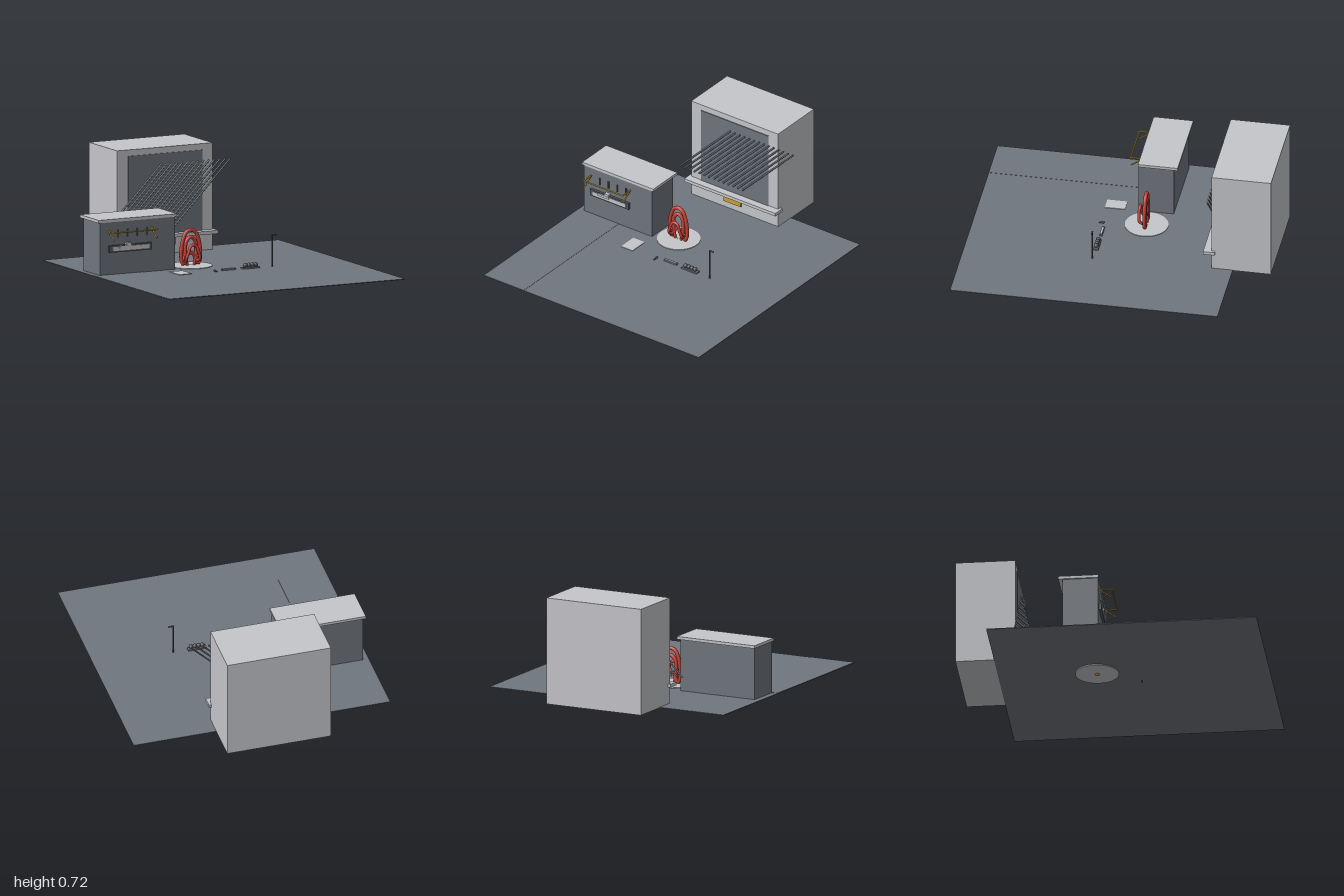
import * as THREE from 'three';

const mat = (name, color) => {
  const m = new THREE.MeshStandardMaterial({ color });
  m.name = name;
  return m;
};

export function createModel() {
  const steel = mat('slate steel', 0x70767e);
  const pale = mat('pale stone', 0xc5c6ca);
  const dark = mat('dark iron', 0x54585e);
  const red = mat('red enamel', 0xc8443a);
  const brass = mat('brass', 0xc6a136);

  const model = new THREE.Group();
  model.name = 'workshopRoom';
  const V = (x, y, z) => new THREE.Vector3(x, y, z);

  const add = (parent, name, geometry, material) => {
    const mesh = new THREE.Mesh(geometry, material);
    mesh.name = name;
    parent.add(mesh);
    return mesh;
  };
  const group = (name) => {
    const g = new THREE.Group();
    g.name = name;
    model.add(g);
    return g;
  };
  // Box given by its minimum and maximum on each axis
  const box = (parent, name, material, x0, x1, y0, y1, z0, z1) => {
    const mesh = add(parent, name, new THREE.BoxGeometry(x1 - x0, y1 - y0, z1 - z0), material);
    mesh.position.set((x0 + x1) / 2, (y0 + y1) / 2, (z0 + z1) / 2);
    return mesh;
  };
  // Straight round bar between two points
  const bar = (parent, name, material, a, b, r, sides = 10) => {
    const dir = b.clone().sub(a);
    const mesh = add(parent, name, new THREE.CylinderGeometry(r, r, dir.length(), sides), material);
    mesh.position.copy(a).add(b).multiplyScalar(0.5);
    mesh.quaternion.setFromUnitVectors(V(0, 1, 0), dir.normalize());
    return mesh;
  };

  // Floor with a slightly raised strip along one side
  const floor = group('floor');
  box(floor, 'floorSlab', steel, -0.86, 0.86, 0.019, 0.024, -0.75, 1);
  box(floor, 'floorStrip', steel, -0.86, -0.54, 0.023, 0.0255, -0.03, 1);

  // Tall cabinet with a dark recessed-looking front panel, ledge and plate
  const cabinet = group('cabinet');
  box(cabinet, 'cabinetBody', pale, -0.39, 0.305, 0.02, 0.72, -1, -0.612);
  box(cabinet, 'cabinetPanel', steel, -0.31, 0.23, 0.15, 0.68, -0.613, -0.607);
  box(cabinet, 'ledge', pale, -0.408, 0.322, 0.133, 0.155, -0.635, -0.558);
  box(cabinet, 'brassPlate', brass, -0.11, 0.026, 0.083, 0.126, -0.592, -0.584);
  for (const x of [-0.09, 0.006]) {
    box(cabinet, 'plateBracket', brass, x - 0.005, x + 0.005, 0.115, 0.135, -0.613, -0.588);
  }

  // Slanted rods across the panel
  const rods = group('slantedRods');
  for (let i = 0; i < 14; i++) {
    const x = -0.478 + i * 0.0387;
    bar(rods, 'rod', steel, V(x, 0.202, -0.605), V(x + 0.407, 0.61, -0.605), 0.0055, 8);
  }

  // Workbench
  const bench = group('bench');
  box(bench, 'benchBody', steel, -0.82, -0.275, 0.02, 0.367, -0.26, -0.03);
  box(bench, 'benchTop', pale, -0.832, -0.262, 0.367, 0.386, -0.287, -0.027);
  box(bench, 'slotFrame', dark, -0.76, -0.45, 0.17, 0.216, -0.032, -0.014);
  box(bench, 'slotFace', pale, -0.738, -0.472, 0.18, 0.206, -0.016, -0.011);
  box(bench, 'slotLatch', pale, -0.69, -0.605, 0.196, 0.212, -0.012, -0.004);
  box(bench, 'slotTab', pale, -0.64, -0.605, 0.212, 0.228, -0.03, -0.006);

  // Towel rail with arms and sloping struts
  const rail = group('rail');
  bar(rail, 'railBar', brass, V(-0.765, 0.31, 0.054), V(-0.443, 0.31, 0.054), 0.005);
  for (const x of [-0.76, -0.448]) {
    bar(rail, 'railArm', brass, V(x, 0.31, 0.06), V(x, 0.31, -0.03), 0.005);
    bar(rail, 'railStrut', brass, V(x, 0.255, 0.052), V(x, 0.31, -0.03), 0.005);
  }
  for (let i = 0; i < 4; i++) {
    const x = -0.69 + i * 0.07;
    box(rail, 'hook', dark, x - 0.004, x + 0.004, 0.265, 0.315, -0.031, -0.022);
  }

  // Round plinth and its brass stud
  const plinth = group('plinth');
  const disc = add(plinth, 'plinthDisc', new THREE.CylinderGeometry(0.141, 0.141, 0.016, 48), pale);
  disc.position.set(-0.12, 0.02, -0.11);
  const stud = add(plinth, 'plinthStud', new THREE.SphereGeometry(0.016, 20, 14), brass);
  stud.position.set(-0.12, 0.016, -0.11);

  // Red looped tube sculpture, each path mirrored about its centre
  const sculpture = group('loopSculpture');
  sculpture.position.set(-0.12, 0, -0.107);
  const loop = (name, half, r, closed = false) => {
    const right = half.map(([x, y, z = 0]) => V(x, y, z));
    const left = right.filter((p) => p.x > 0).reverse().map((p) => V(-p.x, p.y, p.z));
    const path = new THREE.CatmullRomCurve3([...left.reverse(), ...right.slice().reverse()].length && closed
      ? [...right, ...right.filter((p) => p.x > 0).reverse().map((p) => V(-p.x, p.y, p.z))]
      : [...right.filter((p) => p.x > 0).reverse(), ...right.filter((p) => p.x === 0),
        ...right.filter((p) => p.x > 0).map((p) => V(-p.x, p.y, p.z))], closed);
    add(sculpture, name, new THREE.TubeGeometry(path, 90, r, 12, closed), red);
  };
  loop('outerLoop', [
    [0, 0.258], [0.032, 0.245], [0.055, 0.2], [0.068, 0.13], [0.067, 0.065],
    [0.052, 0.037], [0.036, 0.06], [0.04, 0.12], [0.034, 0.18], [0, 0.213],
  ], 0.0125, true);
  loop('frontLoop', [
    [0, 0.165, 0.038], [0.022, 0.155, 0.039], [0.038, 0.115, 0.041],
    [0.05, 0.08, 0.036], [0.046, 0.062, 0.02], [0.036, 0.06, 0],
  ], 0.01);
  loop('innerLoop', [[0, 0.108], [0.02, 0.095], [0.03, 0.065], [0.024, 0.028]], 0.0095);

  // Sheet and small tools laid out on the floor
  const tools = group('floorTools');
  box(tools, 'sheet', pale, -0.36, -0.268, 0.023, 0.028, 0.058, 0.19);
  box(tools, 'block', steel, -0.035, 0.065, 0.023, 0.035, 0.148, 0.166);
  box(tools, 'blockInlay', pale, -0.025, 0.055, 0.034, 0.037, 0.152, 0.162);
  bar(tools, 'pin', dark, V(-0.09, 0.028, 0.165), V(-0.09, 0.028, 0.197), 0.005);
  const pinHead = add(tools, 'pinHead', new THREE.SphereGeometry(0.008, 12, 8), dark);
  pinHead.position.set(-0.09, 0.03, 0.168);
  bar(tools, 'floorPeg', dark, V(0.017, 0.003, 0.165), V(0.017, 0.024, 0.165), 0.004);

  // Tray of four balls
  box(tools, 'tray', steel, 0.112, 0.234, 0.023, 0.034, 0.143, 0.177);
  for (let i = 0; i < 4; i++) {
    const ball = add(tools, 'trayBall', new THREE.SphereGeometry(0.015, 16, 12), dark);
    ball.position.set(0.136 + i * 0.025, 0.046, 0.16);
  }

  // Thin post with a short arm
  bar(tools, 'post', dark, V(0.33, 0.02, 0.163), V(0.33, 0.233, 0.163), 0.005);
  bar(tools, 'postArm', dark, V(0.326, 0.229, 0.163), V(0.362, 0.229, 0.163), 0.005);

  return model;
}
